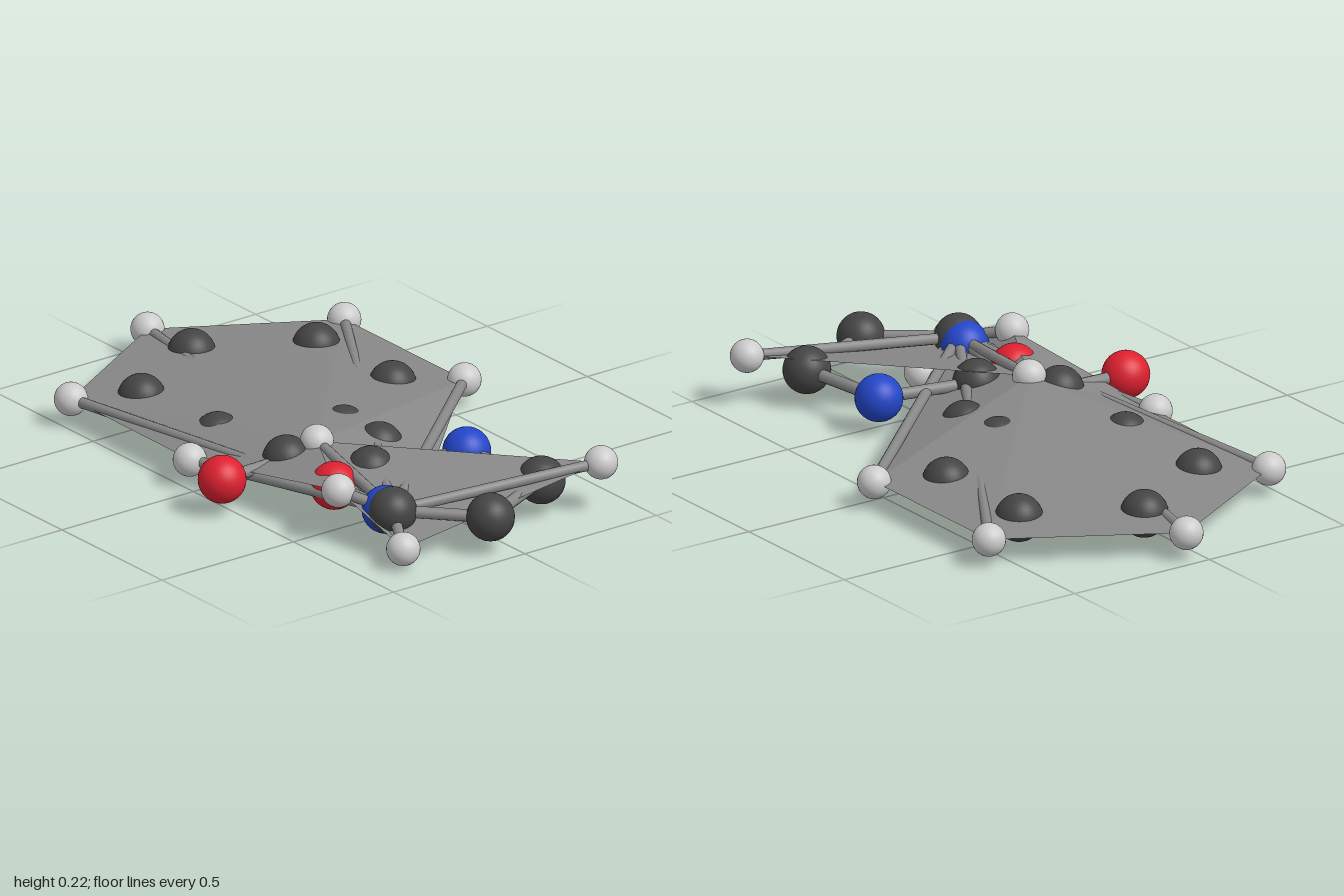
import * as THREE from 'three';

export function createModel() {
  const model = new THREE.Group();
  const V = (p) => new THREE.Vector3(...p);
  const mat = (color, extra = {}) => new THREE.MeshStandardMaterial({ color, ...extra });
  const dark = mat(0x444444), red = mat(0xdd2030), blue = mat(0x2346c8);
  const light = mat(0xcccccc), rodGrey = mat(0x888888);
  const sheetGrey = mat(0x888888, { side: THREE.DoubleSide, flatShading: true });

  // Ball centres
  const ring = [[-0.73, 0.075, -0.05], [-0.54, 0.075, -0.38], [-0.16, 0.075, -0.38],
    [0.03, 0.075, -0.05], [-0.16, 0.075, 0.285], [-0.54, 0.075, 0.285]];
  const link = [0.2, 0.075, -0.055], inner = [0.4, 0.108, 0.13], acid = [0.19, 0.115, 0.29];
  const hub = [0.72, 0.12, 0.29], side = [0.92, 0.11, 0.07], back = [0.78, 0.11, -0.23];
  const redFront = [0.19, 0.11, 0.535], redInner = [0.435, 0.11, 0.295];
  const blueBack = [0.46, 0.11, -0.19], blueHub = [0.68, 0.11, 0.285];
  const rim = [[-0.65, 0.08, 0.47], [-0.95, 0.08, -0.05], [-0.65, 0.08, -0.57],
    [-0.05, 0.08, -0.57], [-0.05, 0.08, 0.475]];
  const peak = [0.23, 0.165, 0.205], tipBack = [0.875, 0.16, -0.385];
  const tipSide = [0.865, 0.06, 0.36], tipFront = [0.58, 0.165, 0.39], tipUnder = [0.69, 0.05, 0.13];
  const tips = [...rim, peak, tipBack, tipSide, tipFront, tipUnder];

  // Balls
  const bigBall = new THREE.SphereGeometry(0.074, 32, 20);
  const smallBall = new THREE.SphereGeometry(0.052, 28, 18);
  function balls(name, list, geometry, material) {
    const group = new THREE.Group();
    group.name = name;
    for (const p of list) {
      const ball = new THREE.Mesh(geometry, material);
      ball.position.set(...p);
      group.add(ball);
    }
    model.add(group);
  }
  balls('darkBalls', [...ring, link, inner, acid, hub, side, back], bigBall, dark);
  balls('redBalls', [redFront, redInner], bigBall, red);
  balls('blueBalls', [blueBack, blueHub], bigBall, blue);
  balls('lightBalls', tips, smallBall, light);

  // Connecting rods
  const rods = new THREE.Group();
  rods.name = 'rods';
  model.add(rods);
  function rod(a, b, radius = 0.019) {
    const from = V(a), to = V(b), dir = to.clone().sub(from);
    const mesh = new THREE.Mesh(new THREE.CylinderGeometry(radius, radius, dir.length(), 12), rodGrey);
    mesh.position.copy(from).add(to).multiplyScalar(0.5);
    mesh.quaternion.setFromUnitVectors(new THREE.Vector3(0, 1, 0), dir.normalize());
    rods.add(mesh);
  }
  ring.forEach((p, i) => rod(p, ring[(i + 1) % ring.length]));
  const pairs = [[ring[3], link], [link, inner], [link, acid], [acid, redFront], [acid, redInner],
    [redInner, blueHub], [inner, blueBack], [blueBack, back], [back, side], [side, hub]];
  for (const [a, b] of pairs) rod(a, b);
  // Every light ball is tied to the hub
  for (const p of tips) rod(p, hub, 0.017);

  // Thin faceted sheet stretched between the light balls, fanned around the peak
  const fan = [tipFront, rim[4], ...rim.slice(0, 4), tipSide, tipBack];
  const faces = fan.slice(1).map((p, i) => [peak, fan[i], p]);
  faces.push([peak, tipSide, tipFront]);
  const sheetGeometry = new THREE.BufferGeometry().setFromPoints(faces.flat().map(V));
  sheetGeometry.computeVertexNormals();
  const sheet = new THREE.Mesh(sheetGeometry, sheetGrey);
  sheet.name = 'sheet';
  model.add(sheet);

  return model;
}
